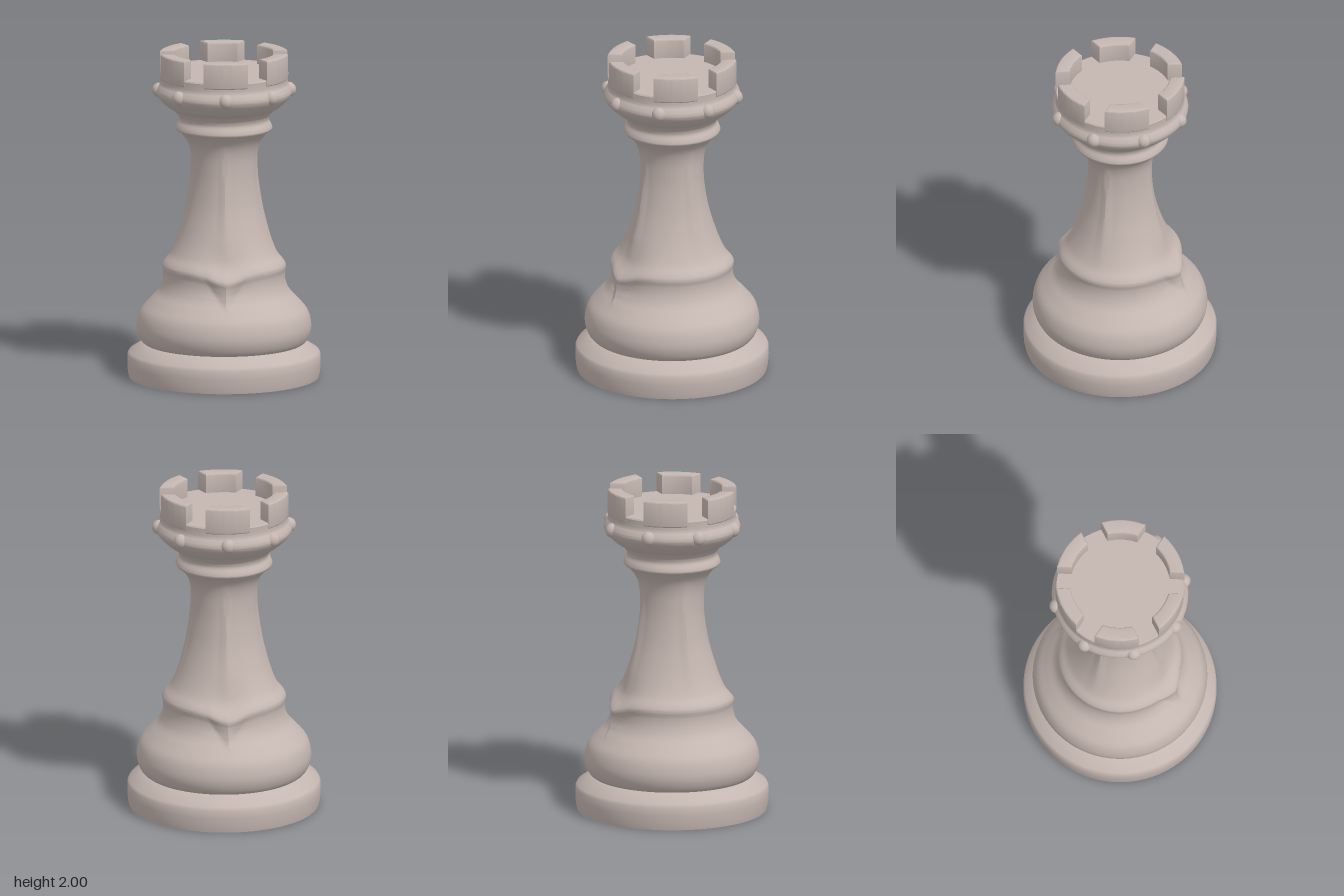
import * as THREE from 'three';
import { toCreasedNormals } from 'three/addons/utils/BufferGeometryUtils.js';

const SEGMENTS = 128;

export function createModel() {
  const model = new THREE.Group();
  const stone = new THREE.MeshStandardMaterial({ color: 0xc4b6b0 });
  stone.name = 'warm grey stone';

  const add = (name, geometry, parent = model) => {
    const mesh = new THREE.Mesh(geometry, stone);
    mesh.name = name;
    parent.add(mesh);
    return mesh;
  };
  const points = (list) => list.map(([r, y]) => new THREE.Vector2(r, y));
  const smooth = (list, n) => new THREE.SplineCurve(points(list)).getPoints(n);
  const lathe = (profile) => new THREE.LatheGeometry(profile, SEGMENTS);

  // Round plinth with a sloping upper edge
  add('base', toCreasedNormals(lathe(points([
    [0, 0], [0.575, 0], [0.582, 0.03], [0.586, 0.09], [0.585, 0.14], [0.575, 0.158],
    [0.5, 0.205], [0.48, 0.215], [0, 0.215],
  ])), 0.6));

  // Bulge, shoulder and waisted column in one turned body
  const body = lathe(smooth([
    [0.46, 0.2], [0.5, 0.225], [0.525, 0.28], [0.527, 0.34], [0.505, 0.41], [0.45, 0.475],
    [0.4, 0.53], [0.375, 0.585], [0.368, 0.64], [0.375, 0.685], [0.362, 0.715], [0.322, 0.765],
    [0.283, 0.85], [0.25, 0.95], [0.222, 1.06], [0.202, 1.19], [0.196, 1.29], [0.2, 1.38],
    [0.22, 1.45], [0.26, 1.505], [0.29, 1.53],
  ], 110));
  const pos = body.attributes.position;
  const bump = (y, low, high) =>
    y <= low || y >= high ? 0 : Math.sin(Math.PI * (y - low) / (high - low));
  for (let i = 0; i < pos.count; i++) {
    const x = pos.getX(i), y = pos.getY(i), z = pos.getZ(i);
    const r = Math.hypot(x, z);
    // angles to the nearest of the four column ridges, and to the front or back
    const quarter = Math.abs(Math.atan2(Math.sin(4 * Math.atan2(x, z)), Math.cos(4 * Math.atan2(x, z)))) / 4;
    const toFront = Math.atan2(Math.abs(x), Math.abs(z));
    // slim ridges running down the column, with shallow hollows beside them
    let out = bump(y, 0.74, 1.46) * (0.012 * Math.max(0, 1 - quarter / 0.2) - 0.008 * Math.sin(2 * quarter) ** 2);
    // pointed tongue that hangs from the shoulder at front and back
    const width = THREE.MathUtils.mapLinear(THREE.MathUtils.clamp(y, 0.5, 0.74), 0.5, 0.74, 0.05, 0.42);
    const tongue = Math.max(0, 1 - toFront / width);
    out += 0.034 * bump(y, 0.48, 0.78) * tongue;
    // shoulder edge sags towards the tongue
    const sag = 0.045 * bump(y, 0.55, 0.88) * Math.exp(-((toFront / 0.35) ** 2));
    const k = (r + out) / r;
    pos.setXYZ(i, x * k, y - sag, z * k);
  }
  add('body', toCreasedNormals(body, 0.55));

  // Double ring under the crown
  add('collar', toCreasedNormals(lathe([
    ...points([[0.2, 1.515], [0.275, 1.518]]),
    ...smooth([[0.285, 1.522], [0.293, 1.537], [0.285, 1.56], [0.272, 1.585], [0.276, 1.61],
      [0.29, 1.63], [0.305, 1.648]], 20),
    ...points([[0.2, 1.66]]),
  ]), 0.6));

  // Flared bowl, rounded band, upright wall and flat floor
  add('crown', toCreasedNormals(lathe([
    ...points([[0.2, 1.643], [0.3, 1.645]]),
    ...smooth([[0.315, 1.652], [0.345, 1.672], [0.378, 1.702], [0.404, 1.733], [0.414, 1.762],
      [0.404, 1.79], [0.39, 1.812], [0.387, 1.835]], 28),
    ...points([[0.39, 1.872], [0.385, 1.88], [0, 1.88]]),
  ]), 0.6));

  // Eight beads around the band
  const beads = new THREE.Group();
  beads.name = 'beads';
  model.add(beads);
  const beadGeometry = new THREE.SphereGeometry(0.045, 20, 14);
  for (let i = 0; i < 8; i++) {
    const a = i * Math.PI / 4;
    add('bead', beadGeometry, beads).position.set(0.392 * Math.sin(a), 1.768, 0.392 * Math.cos(a));
  }

  // Six battlements separated by slots with parallel sides
  const outer = 0.392, inner = 0.305, halfGap = 0.067, bevel = 0.01;
  const outerAngle = Math.PI / 6 - Math.asin(halfGap / outer);
  const innerAngle = Math.PI / 6 - Math.asin(halfGap / inner);
  const block = new THREE.Shape();
  block.absarc(0, 0, outer, -outerAngle, outerAngle, false);
  block.absarc(0, 0, inner, innerAngle, -innerAngle, true);
  const blockGeometry = toCreasedNormals(new THREE.ExtrudeGeometry(block, {
    depth: 0.14, curveSegments: 16,
    bevelSize: bevel, bevelThickness: bevel, bevelOffset: -bevel, bevelSegments: 3,
  }).rotateX(-Math.PI / 2).translate(0, 1.85, 0), 0.6);
  const battlements = new THREE.Group();
  battlements.name = 'battlements';
  model.add(battlements);
  for (let i = 0; i < 6; i++) {
    add('battlement', blockGeometry, battlements).rotation.y = Math.PI / 6 + i * Math.PI / 3;
  }

  return model;
}
